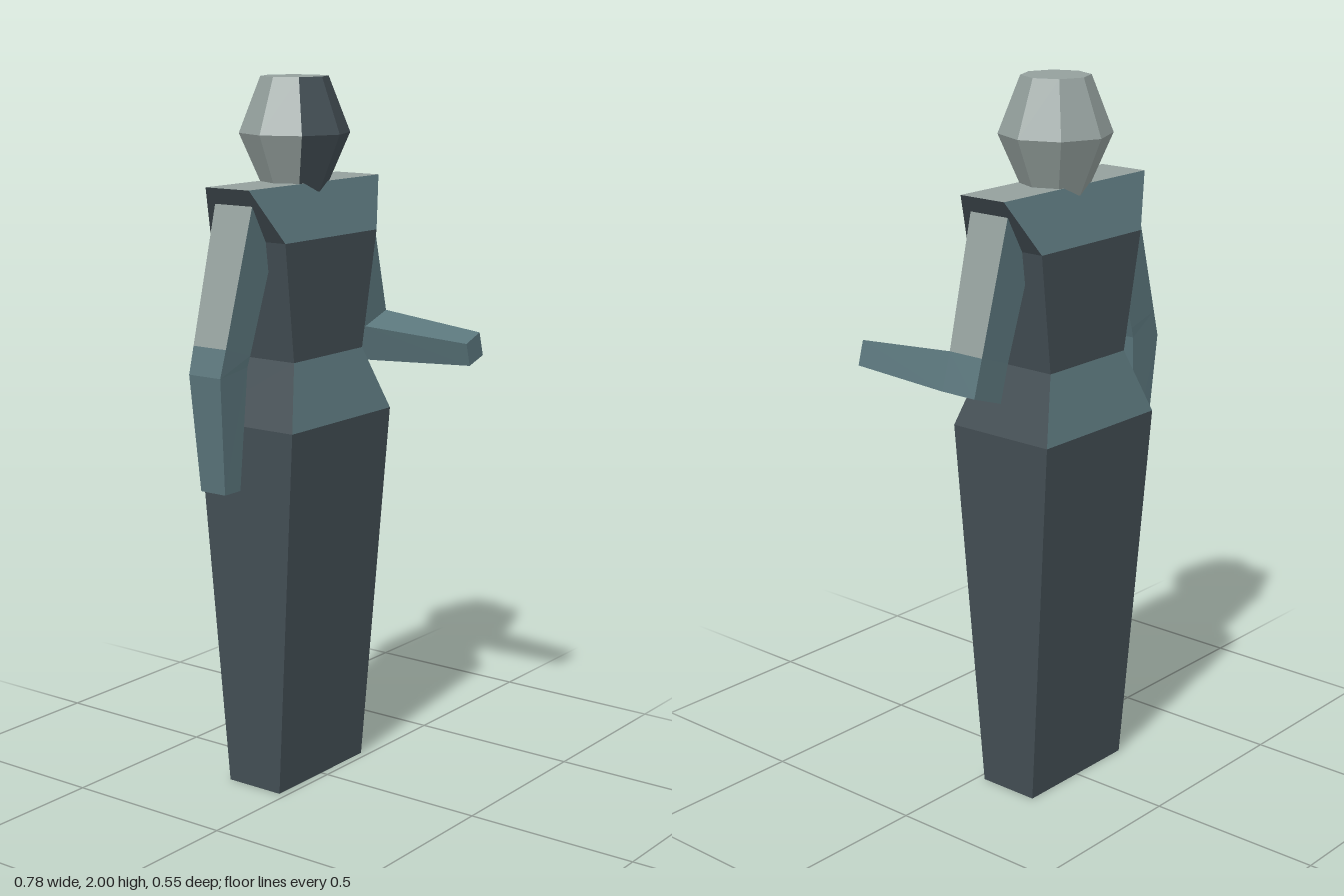
import * as THREE from 'three';

const mat = (name, color) => {
  const m = new THREE.MeshStandardMaterial({ color });
  m.name = name;
  return m;
};

const CZ = -0.112; // depth of the body axis
const LIGHT = 0, TEAL = 1, DARK = 2;

// Faceted skin over rings of corners (counter-clockwise seen from the last ring),
// with a colour per face and both ends capped.
function loft(name, rings, colourOf, startColour, endColour, materials) {
  const pos = [];
  const geo = new THREE.BufferGeometry();
  const n = rings[0].length;
  const polygon = (pts, colour) => {
    geo.addGroup(pos.length / 3, (pts.length - 2) * 3, colour);
    for (let k = 1; k < pts.length - 1; k++) pos.push(...pts[0], ...pts[k], ...pts[k + 1]);
  };
  for (let i = 0; i < rings.length - 1; i++) {
    for (let j = 0; j < n; j++) {
      const k = (j + 1) % n;
      polygon([rings[i][j], rings[i][k], rings[i + 1][k], rings[i + 1][j]], colourOf(i, j));
    }
  }
  polygon([...rings[0]].reverse(), startColour);
  polygon(rings[rings.length - 1], endColour);
  geo.setAttribute('position', new THREE.Float32BufferAttribute(pos, 3));
  geo.computeVertexNormals();
  const mesh = new THREE.Mesh(geo, materials);
  mesh.name = name;
  return mesh;
}

// Ring corners: +x front, +x back, -x back, -x front
const bodyRing = (y, hx, hz) => [
  [hx, y, CZ + hz], [hx, y, CZ - hz], [-hx, y, CZ - hz], [-hx, y, CZ + hz],
];

// Arm section between an inner and an outer edge, each given as x, y
const armRing = (side, xi, yi, xo, yo, hz) => {
  const o = [side * xo, yo], n = [side * xi, yi];
  const [p, q] = side > 0 ? [o, n] : [n, o];
  return [[...p, CZ + hz], [...p, CZ - hz], [...q, CZ - hz], [...q, CZ + hz]];
};

const octagon = (y, r) => Array.from({ length: 8 }, (_, j) => {
  const a = (j * Math.PI) / 4;
  return [r * Math.sin(a), y, CZ + r * Math.cos(a)];
});

export function createModel() {
  const mats = [
    mat('light grey', 0x94a09d),
    mat('teal grey', 0x5a757b),
    mat('dark grey', 0x434e54),
  ];
  const group = new THREE.Group();
  group.name = 'figure';

  // Skirt, hips, torso and shoulders; hips and shoulders are teal front and back
  const body = [
    bodyRing(0, 0.197, 0.09),
    bodyRing(1.06, 0.228, 0.165),
    bodyRing(1.24, 0.157, 0.117),
    bodyRing(1.57, 0.208, 0.129),
    bodyRing(1.715, 0.293, 0.074),
  ];
  group.add(loft('body', body, (i, j) => (i % 2 && j % 2 ? TEAL : DARK), DARK, LIGHT, mats));

  // Head with a dark face on the two front facets
  const head = [octagon(1.69, 0.085), octagon(1.847, 0.154), octagon(2, 0.094)];
  group.add(loft('head', head, (i, j) => (j === 0 || j === 7 ? DARK : LIGHT), LIGHT, LIGHT, mats));

  // Hanging right arm, light on the outside of the upper arm
  const rightArm = [
    armRing(-1, 0.3, 0.9, 0.365, 0.9, 0.042),
    armRing(-1, 0.28, 1.24, 0.394, 1.225, 0.054),
    armRing(-1, 0.27, 1.27, 0.372, 1.3, 0.056),
    armRing(-1, 0.14, 1.65, 0.262, 1.685, 0.064),
  ];
  group.add(loft('rightArm', rightArm, (i, j) => (i === 2 && j === 2 ? LIGHT : TEAL), TEAL, TEAL, mats));

  // Left upper arm
  const leftUpper = [
    armRing(1, 0.258, 1.28, 0.36, 1.315, 0.056),
    armRing(1, 0.14, 1.65, 0.262, 1.685, 0.064),
  ];
  group.add(loft('leftUpperArm', leftUpper, (i, j) => (j === 0 ? LIGHT : TEAL), TEAL, TEAL, mats));

  // Left forearm reaching forward, tapering to the hand
  const foreRing = (z, pts) => pts.map(([x, y]) => [x, y, z]);
  const elbow = [[0.258, 1.28], [0.287, 1.177], [0.39, 1.212], [0.36, 1.315]];
  const hand = [[0.28, 1.26], [0.298, 1.195], [0.366, 1.216], [0.347, 1.284]];
  const forearm = [foreRing(-0.168, elbow), foreRing(-0.056, elbow), foreRing(0.277, hand)];
  group.add(loft('leftForearm', forearm, () => TEAL, TEAL, TEAL, mats));

  return group;
}
